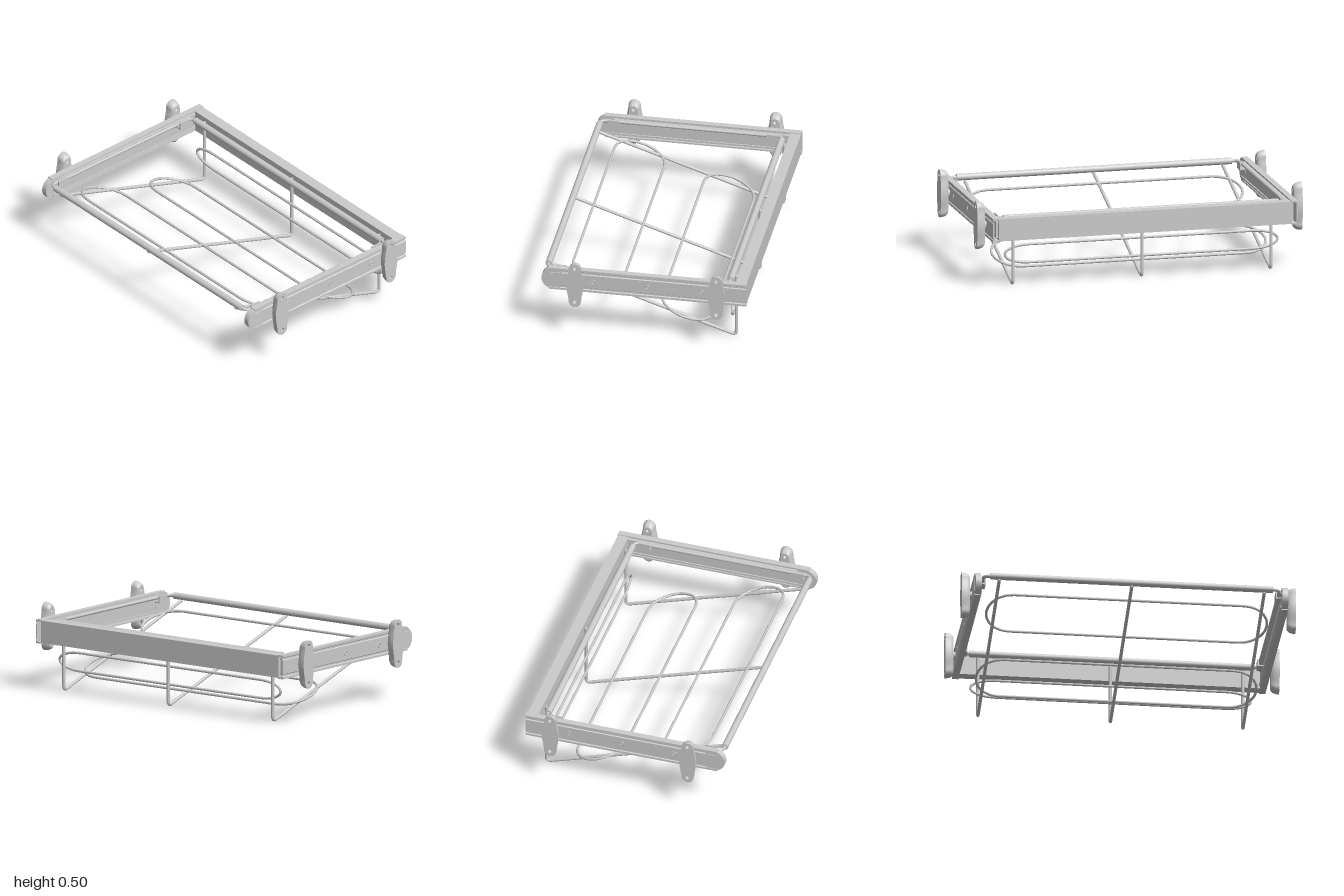
import * as THREE from 'three';
import { toCreasedNormals } from 'three/addons/utils/BufferGeometryUtils.js';

const mat = new THREE.MeshStandardMaterial({ color: 0xcccccc });
const RAIL_Y = 0.363;
const V = (x, y, z) => new THREE.Vector3(x, y, z);

export function createModel() {
  const root = new THREE.Group();

  function add(name, geo, x = 0, y = 0, z = 0) {
    const m = new THREE.Mesh(geo, mat);
    m.name = name;
    m.position.set(x, y, z);
    root.add(m);
    return m;
  }

  // Wire through corner points, with each corner rounded by a radius
  function wire(name, pts, corner, r = 0.01) {
    const path = new THREE.CurvePath();
    let last = pts[0];
    for (let i = 1; i < pts.length - 1; i++) {
      const p = pts[i];
      const a = p.clone().add(pts[i - 1].clone().sub(p).setLength(corner));
      const b = p.clone().add(pts[i + 1].clone().sub(p).setLength(corner));
      path.add(new THREE.LineCurve3(last, a));
      path.add(new THREE.QuadraticBezierCurve3(a, p, b));
      last = b;
    }
    path.add(new THREE.LineCurve3(last, pts[pts.length - 1]));
    add(name, new THREE.TubeGeometry(path, 160, r, 10));
    // closed ends
    for (const e of [pts[0], pts[pts.length - 1]]) add(name + 'End', new THREE.SphereGeometry(r, 10, 6), e.x, e.y, e.z);
  }

  // Long rounded wire loop; centre and half-width vector set its plane
  function loop(name, centre, half) {
    const pts = [];
    for (const s of [1, -1]) {
      for (let i = 0; i <= 10; i++) {
        const a = -Math.PI / 2 + (Math.PI * i) / 10;
        pts.push(V(s * (0.69 + 0.15 * Math.cos(a)), 0, 0).add(centre).addScaledVector(half, s * Math.sin(a)));
      }
    }
    const path = new THREE.CurvePath();
    pts.forEach((p, i) => path.add(new THREE.LineCurve3(p, pts[(i + 1) % pts.length])));
    add(name, new THREE.TubeGeometry(path, 220, 0.008, 8, true));
  }

  // Back panel joining the rails
  add('backPanel', new THREE.BoxGeometry(1.8, 0.135, 0.065), 0, RAIL_Y, -0.585);

  // Top wire frame with thicker sleeves at front and back
  for (const s of [1, -1]) {
    wire('frameSideWire', [V(s * 0.83, 0.41, 0.59), V(s * 0.885, 0.41, 0.59),
      V(s * 0.885, 0.41, -0.51), V(s * 0.83, 0.41, -0.51)], 0.035);
  }
  for (const z of [0.59, -0.51]) {
    const bar = add('frameSleeve', new THREE.CylinderGeometry(0.02, 0.02, 1.69, 20), 0, 0.41, z);
    bar.rotation.z = Math.PI / 2;
  }

  // Sloping hangers, bent up at the back
  for (const x of [-0.793, 0, 0.793]) {
    wire('hangerWire', [V(x, 0.385, 0.59), V(x, 0.008, -0.535), V(x, 0.41, -0.535)], 0.03);
  }

  // Shelf loops lying on the slope, and one upright heel stop
  loop('frontShelfLoop', V(0, 0.301, 0.32), V(0, 0.05, 0.15));
  loop('backShelfLoop', V(0, 0.126, -0.22), V(0, 0.05, 0.15));
  loop('heelStopLoop', V(0, 0.19, -0.517), V(0, 0.055, 0));

  // Wall bracket: lobed plate with screw holes, rounded towards the rail
  function bracketGeometry() {
    const s = new THREE.Shape();
    s.moveTo(0.05, 0);
    s.bezierCurveTo(0.05, 0.045, 0.038, 0.075, 0.037, 0.105);
    s.absarc(0, 0.109, 0.037, 0, Math.PI, false);
    s.bezierCurveTo(-0.038, 0.075, -0.05, 0.045, -0.05, 0);
    s.bezierCurveTo(-0.05, -0.045, -0.038, -0.075, -0.037, -0.105);
    s.absarc(0, -0.109, 0.037, Math.PI, Math.PI * 2, false);
    s.bezierCurveTo(0.038, -0.075, 0.05, -0.045, 0.05, 0);
    for (const y of [0.114, -0.114]) {
      const h = new THREE.Path();
      h.absarc(0, y, 0.012, 0, Math.PI * 2, true);
      s.holes.push(h);
    }
    const g = new THREE.ExtrudeGeometry(s, { depth: 0.05, steps: 6, bevelEnabled: false, curveSegments: 10 });
    const p = g.attributes.position;
    for (let i = 0; i < p.count; i++) {
      const t = 1 - p.getZ(i) / 0.05;
      const k = 1 - Math.sqrt(1 - t * t * 0.98);
      p.setXY(i, p.getX(i) * (1 - 0.32 * k), p.getY(i) * (1 - 0.17 * k));
    }
    return toCreasedNormals(g, 0.6);
  }

  // Rail cross-section: grooved channel open towards the middle
  const half = [[0.9, 0.062], [0.9, 0.072], [0.938, 0.072], [0.938, 0.059], [0.932, 0.055], [0.932, 0.046], [0.938, 0.042]];
  const inner = [[0.928, -0.062], [0.928, 0.062]];
  const profile = [...half, ...half.map(([x, y]) => [x, -y]).reverse(), ...inner];

  for (const s of [1, -1]) {
    const shape = new THREE.Shape(profile.map(([x, y]) => new THREE.Vector2(s * x, y)));
    add('sideRail', new THREE.ExtrudeGeometry(shape, { depth: 1.19, bevelEnabled: false }), 0, RAIL_Y, -0.62);

    // Sliding member inside the rail, with raised edges
    add('slide', new THREE.BoxGeometry(0.012, 0.1, 1.16), s * 0.908, RAIL_Y, -0.02);
    for (const y of [-0.045, 0.045]) {
      add('slideEdge', new THREE.BoxGeometry(0.02, 0.012, 1.16), s * 0.904, RAIL_Y + y, -0.02);
    }

    // Rounded front end cap
    const cap = add('railEndCap', new THREE.CylinderGeometry(0.07, 0.07, 0.036, 32), s * 0.918, RAIL_Y, 0.548);
    cap.rotation.z = Math.PI / 2;

    // Rivets along the rail
    for (const z of [0.305, -0.022, -0.35]) {
      const ring = add('rivetRing', new THREE.TorusGeometry(0.013, 0.003, 8, 20), s * 0.938, RAIL_Y, z);
      ring.rotation.y = Math.PI / 2;
      const pin = add('rivet', new THREE.CylinderGeometry(0.007, 0.007, 0.006, 16), s * 0.938, RAIL_Y, z);
      pin.rotation.z = Math.PI / 2;
    }

    // Wall brackets with a short spacer to the rail
    for (const z of [0.405, -0.45]) {
      const b = add('wallBracket', bracketGeometry(), s * 0.95, RAIL_Y, z);
      b.rotation.y = (s * Math.PI) / 2;
      const hub = add('bracketSpacer', new THREE.CylinderGeometry(0.025, 0.025, 0.03, 20), s * 0.945, RAIL_Y, z);
      hub.rotation.z = Math.PI / 2;
    }

    // Tabs that hold the wire frame to the slide
    for (const z of [0.51, -0.445]) {
      add('frameTab', new THREE.BoxGeometry(0.008, 0.045, 0.07), s * 0.872, 0.4, z);
      add('frameTabFoot', new THREE.BoxGeometry(0.04, 0.008, 0.07), s * 0.888, 0.38, z);
    }
  }
  return root;
}
